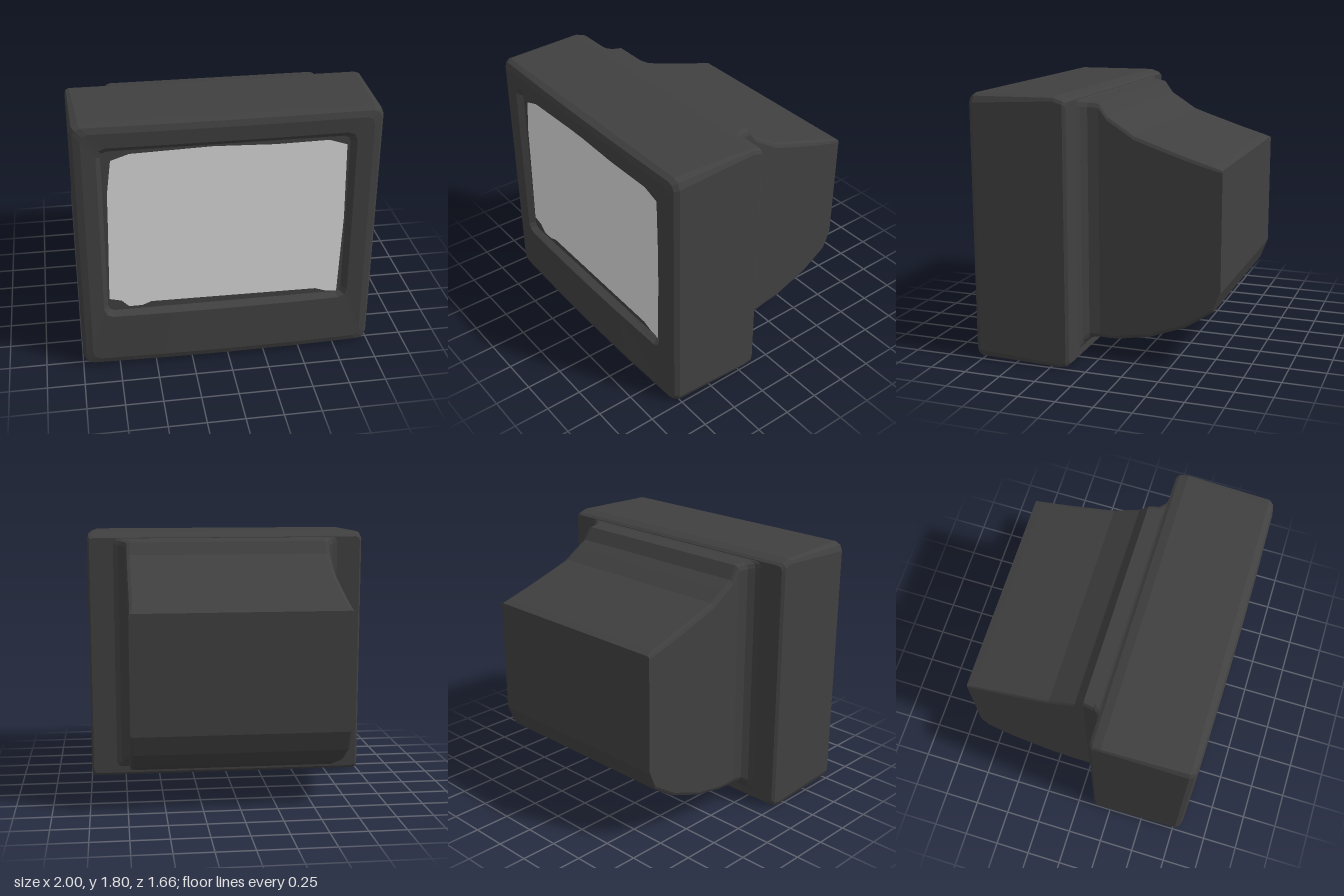
import * as THREE from 'three';

const EDGE = 4; // subdivisions of each straight edge
const CORNER = 2; // segments per rounded corner

// Rounded rectangle, counter-clockwise as seen from the front
function ring(z, x0, x1, y0, y1, r, bend = () => 0) {
  const pts = [];
  const corners = [[x1 - r, y0 + r, -90], [x1 - r, y1 - r, 0], [x0 + r, y1 - r, 90], [x0 + r, y0 + r, 180]];
  const at = (c, k) => {
    const a = THREE.MathUtils.degToRad(c[2] + (90 * k) / CORNER);
    return new THREE.Vector3(c[0] + r * Math.cos(a), c[1] + r * Math.sin(a), z);
  };
  corners.forEach((c, i) => {
    for (let k = 0; k <= CORNER; k++) pts.push(at(c, k));
    const from = at(c, CORNER), to = at(corners[(i + 1) % 4], 0);
    for (let k = 1; k < EDGE; k++) pts.push(from.clone().lerp(to, k / EDGE));
  });
  pts.forEach((p) => { p.z += bend(p.x, p.y); });
  return pts;
}

// Faceted skin through the rings, with both ends closed
function loft(rings) {
  const v = [];
  const tri = (...ps) => ps.forEach((p) => v.push(p.x, p.y, p.z));
  const n = rings[0].length;
  const middle = (r) => r.reduce((s, p) => s.add(p), new THREE.Vector3()).divideScalar(n);
  const first = rings[0], last = rings[rings.length - 1];
  const c0 = middle(first), c1 = middle(last);
  for (let i = 0; i < n; i++) {
    const j = (i + 1) % n;
    for (let k = 0; k + 1 < rings.length; k++) {
      const a = rings[k], b = rings[k + 1];
      tri(a[i], b[i], b[j]);
      tri(a[i], b[j], a[j]);
    }
    tri(c0, first[i], first[j]);
    tri(c1, last[j], last[i]);
  }
  const g = new THREE.BufferGeometry();
  g.setAttribute('position', new THREE.Float32BufferAttribute(v, 3));
  g.computeVertexNormals();
  return g;
}

export function createModel() {
  const group = new THREE.Group();
  const casing = new THREE.MeshStandardMaterial({ color: 0x404040 });
  casing.name = 'charcoal casing';
  const glass = new THREE.MeshStandardMaterial({ color: 0xd8d8d8 });
  glass.name = 'pale grey glass';
  const add = (name, geometry, material) => {
    const mesh = new THREE.Mesh(geometry, material);
    mesh.name = name;
    group.add(mesh);
    return mesh;
  };

  // Front housing: recess floor, bezel lip, bulging face, sides, back
  const bulge = (x, y) => 0.022 * (1 - x * x) * (1 - 0.4 * y / 1.8);
  add('frontHousing', loft([
    ring(0.765, -0.81, 0.79, 0.415, 1.6, 0.04),
    ring(0.8, -0.84, 0.825, 0.39, 1.64, 0.06, bulge),
    ring(0.808, -0.93, 0.93, 0.06, 1.74, 0.05, bulge),
    ring(0.795, -0.975, 0.975, 0.02, 1.78, 0.05, bulge),
    ring(0.765, -0.995, 0.995, 0, 1.8, 0.06),
    ring(0.2, -1, 1, 0, 1.8, 0.03),
    ring(0.14, -1, 1, 0.01, 1.78, 0.03),
    ring(0.12, -0.985, 0.985, 0.03, 1.765, 0.03),
  ]), casing);

  // Rear housing: flared neck, then a hump sloping down and a belly curving up
  const sections = [ // z, half width, bottom, top, corner
    [0.13, 0.84, 0.06, 1.765, 0.03],
    [0.105, 0.78, 0.11, 1.755, 0.04],
    [0.07, 0.745, 0.135, 1.75, 0.04],
    [0, 0.73, 0.14, 1.74, 0.035],
    [-0.06, 0.73, 0.14, 1.655, 0.03],
    [-0.14, 0.73, 0.145, 1.605, 0.03],
    [-0.24, 0.73, 0.165, 1.54, 0.03],
    [-0.34, 0.73, 0.18, 1.505, 0.03],
    [-0.6, 0.73, 0.28, 1.42, 0.03],
    [-0.78, 0.73, 0.405, 1.365, 0.025],
    [-0.83, 0.73, 0.54, 1.345, 0.015],
  ];
  add('rearHousing', loft(sections.map(([z, w, y0, y1, r]) => ring(z, -w, w, y0, y1, r))), casing);

  // Screen glass with uneven lower corners
  const outline = [
    [-0.8, 0.51], [-0.72, 0.49], [-0.67, 0.44], [-0.58, 0.44], [-0.52, 0.465],
    [0.61, 0.455], [0.68, 0.43], [0.76, 0.42], [0.78, 1], [0.77, 1.54], [0.65, 1.58],
    [0.3, 1.575], [-0.1, 1.59], [-0.63, 1.575], [-0.75, 1.535], [-0.78, 1.3], [-0.785, 1.05],
  ].map(([x, y]) => new THREE.Vector2(x, y));
  add('screen', new THREE.ShapeGeometry(new THREE.Shape(outline)), glass).position.z = 0.77;

  return group;
}
